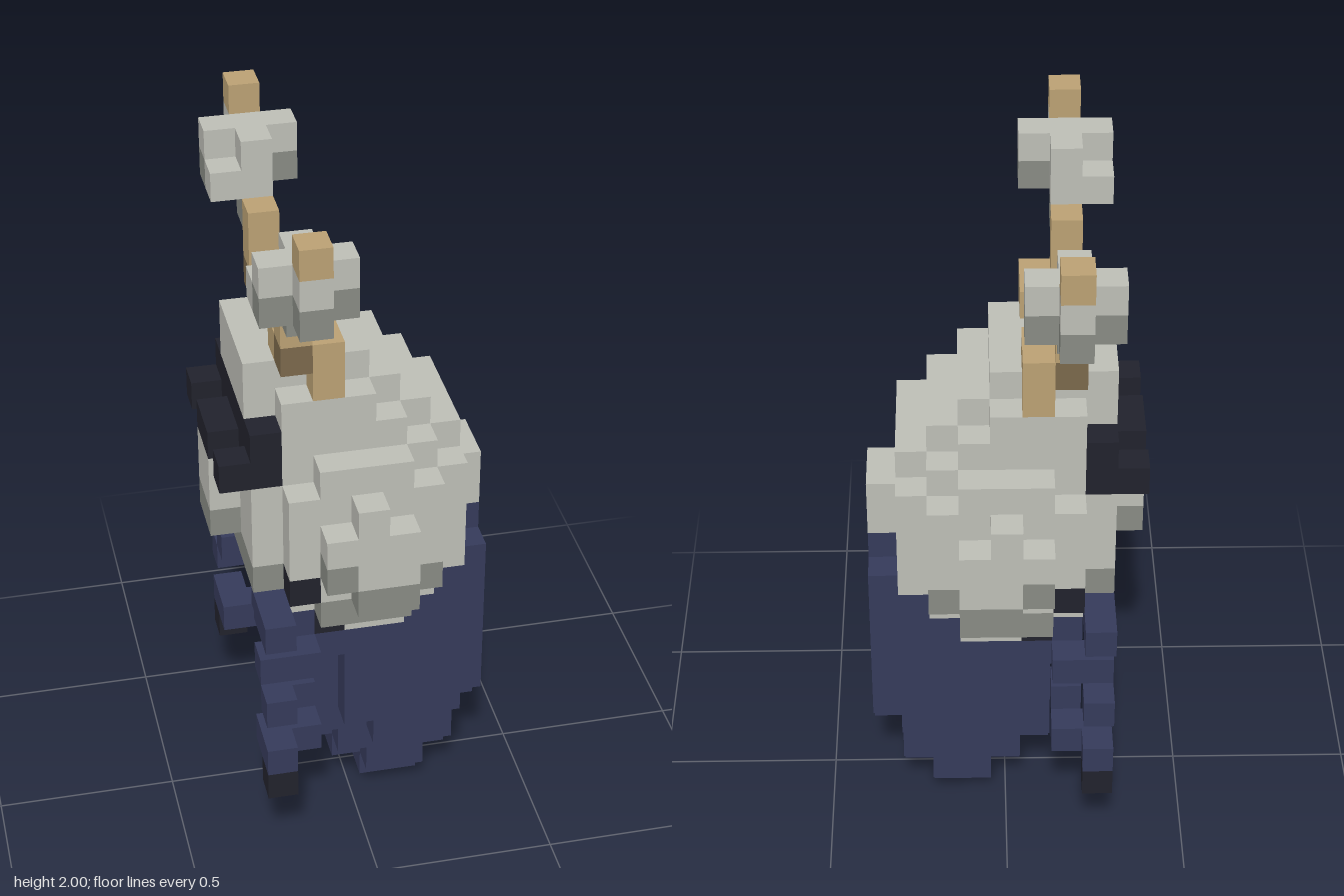
import * as THREE from 'three';

const U = 1 / 12; // edge of one block
const mat = (name, color) => {
  const m = new THREE.MeshStandardMaterial({ color });
  m.name = name;
  return m;
};

export function createModel() {
  const shell = mat('pale shell', 0xbcbdb5);
  const rim = mat('grey rim', 0x878a83);
  const navy = mat('navy', 0x353a5a);
  const tan = mat('tan', 0xbaa073);
  const brown = mat('brown', 0x7a684b);
  const black = mat('near black', 0x21222c);

  const cells = new Map();
  const key = (x, y, z) => `${x},${y},${z}`;
  // Fill blocks x0..x1, y0..y1, z0..z1 on both sides; later fills replace earlier ones
  const fill = (part, m, x0, x1, y0, y1, z0, z1) => {
    for (let x = x0; x < x1; x++)
      for (let y = y0; y < y1; y++)
        for (let z = z0; z < z1; z++)
          for (const k of [z, -z - 1]) cells.set(key(x, y, k), { part, m, p: [x, y, k] });
  };

  // Abdomen, widening upward from the tip: [x0, x1, y0, y1, half width]
  for (const [x0, x1, y0, y1, w] of [
    [5, 7, 0, 1, 1], [4, 8, 1, 2, 1], [5, 7, 1, 2, 2],
    [3, 8, 2, 3, 1], [4, 8, 2, 3, 2],
    [3, 8, 3, 4, 2], [8, 9, 3, 4, 1], [5, 7, 3, 4, 3],
    [3, 8, 4, 9, 2], [4, 8, 4, 5, 3], [4, 8, 5, 9, 3], [3, 4, 7, 9, 3],
    [8, 9, 4, 10, 2], [7, 8, 9, 10, 3], [8, 9, 10, 11, 1],
  ]) fill('abdomen', navy, x0, x1, y0, y1, 0, w);

  // Domed shell over the upper body
  for (const [x0, x1, y0, y1, w] of [
    [2, 7, 9, 10, 3], [2, 8, 10, 11, 3], [3, 6, 10, 11, 4],
    [1, 8, 11, 14, 3], [2, 7, 11, 14, 4], [0, 1, 11, 14, 1], [8, 9, 11, 13, 1],
    [2, 8, 14, 15, 2], [2, 7, 14, 15, 3], [3, 6, 14, 15, 4],
    [2, 7, 15, 16, 2], [2, 6, 15, 16, 3],
    [1, 6, 16, 17, 2], [2, 5, 16, 17, 3], [1, 5, 17, 18, 2],
  ]) fill('shell', shell, x0, x1, y0, y1, 0, w);
  fill('shell', shell, 4, 6, 8, 9, 2, 3);
  fill('shellRim', rim, 0, 1, 11, 12, 0, 1);
  fill('shellRim', rim, 1, 2, 10, 11, 0, 3);
  fill('shellRim', rim, 3, 6, 9, 10, 3, 4);
  fill('shellRim', rim, 6, 7, 10, 11, 3, 4);

  // Raised side plates
  fill('sidePlate', shell, 4, 5, 13, 14, 4, 5);
  fill('sidePlate', shell, 3, 6, 11, 13, 4, 5);
  fill('sidePlateRim', rim, 3, 4, 11, 12, 4, 5);
  fill('sidePlateRim', rim, 4, 6, 10, 11, 4, 5);

  // Dark face band with prongs, and dark joints below it
  fill('faceBand', black, 1, 2, 14, 16, 0, 3);
  fill('prong', black, 0, 1, 14, 15, 0, 1);
  fill('prong', black, 0, 1, 14, 15, 2, 3);
  fill('joint', black, 2, 3, 10, 11, 3, 4);
  fill('joint', black, 3, 4, 8, 9, 2, 3);

  // Three pairs of legs
  fill('upperLeg', navy, 2, 3, 8, 9, 2, 3);
  fill('upperLeg', navy, 1, 2, 9, 10, 3, 5);
  fill('middleLeg', navy, 1, 3, 7, 8, 3, 4);
  fill('middleLeg', navy, 1, 2, 6, 7, 4, 5);
  fill('lowerLeg', navy, 2, 3, 5, 6, 2, 3);
  fill('lowerLeg', navy, 1, 3, 4, 5, 3, 4);
  fill('lowerLeg', navy, 1, 2, 4, 5, 4, 5);
  fill('foot', black, 1, 2, 3, 4, 4, 5);

  // Antennae: base, stem, club and tip
  fill('antennaBase', tan, 2, 4, 18, 19, 1, 3);
  fill('antennaBase', tan, 3, 4, 17, 18, 2, 3);
  fill('antennaJoint', brown, 2, 3, 18, 19, 2, 3);
  fill('antennaStem', tan, 2, 3, 19, 21, 2, 3);
  fill('antennaClub', shell, 2, 3, 21, 23, 3, 4);
  fill('antennaClub', shell, 1, 2, 21, 22, 3, 4);
  fill('antennaClub', shell, 1, 4, 22, 23, 4, 5);
  fill('antennaClub', shell, 2, 3, 22, 23, 5, 6);
  fill('antennaClubRim', rim, 2, 3, 20, 21, 3, 4);
  fill('antennaClubRim', rim, 1, 4, 21, 22, 4, 5);
  fill('antennaClubRim', rim, 2, 3, 21, 22, 5, 6);
  fill('antennaTip', tan, 2, 3, 23, 24, 5, 6);

  // Turn the exposed block faces of each part into one mesh
  const parts = new Map();
  for (const { part, m, p } of cells.values()) {
    if (!parts.has(part)) parts.set(part, { m, pos: [], nor: [] });
    const { pos, nor } = parts.get(part);
    for (let a = 0; a < 3; a++) {
      for (const s of [1, -1]) {
        const n = [0, 0, 0];
        n[a] = s;
        if (cells.has(key(p[0] + n[0], p[1] + n[1], p[2] + n[2]))) continue;
        const b = (a + 1) % 3, c = (a + 2) % 3;
        const ring = [[0, 0], [1, 0], [1, 1], [0, 1]];
        if (s < 0) ring.reverse();
        for (const i of [0, 1, 2, 0, 2, 3]) {
          const v = [...p];
          if (s > 0) v[a] += 1;
          v[b] += ring[i][0];
          v[c] += ring[i][1];
          pos.push((v[0] - 4.5) * U, v[1] * U, v[2] * U);
          nor.push(...n);
        }
      }
    }
  }

  const group = new THREE.Group();
  group.name = 'beetle';
  for (const [name, { m, pos, nor }] of parts) {
    const g = new THREE.BufferGeometry();
    g.setAttribute('position', new THREE.Float32BufferAttribute(pos, 3));
    g.setAttribute('normal', new THREE.Float32BufferAttribute(nor, 3));
    const mesh = new THREE.Mesh(g, m);
    mesh.name = name;
    group.add(mesh);
  }
  return group;
}
